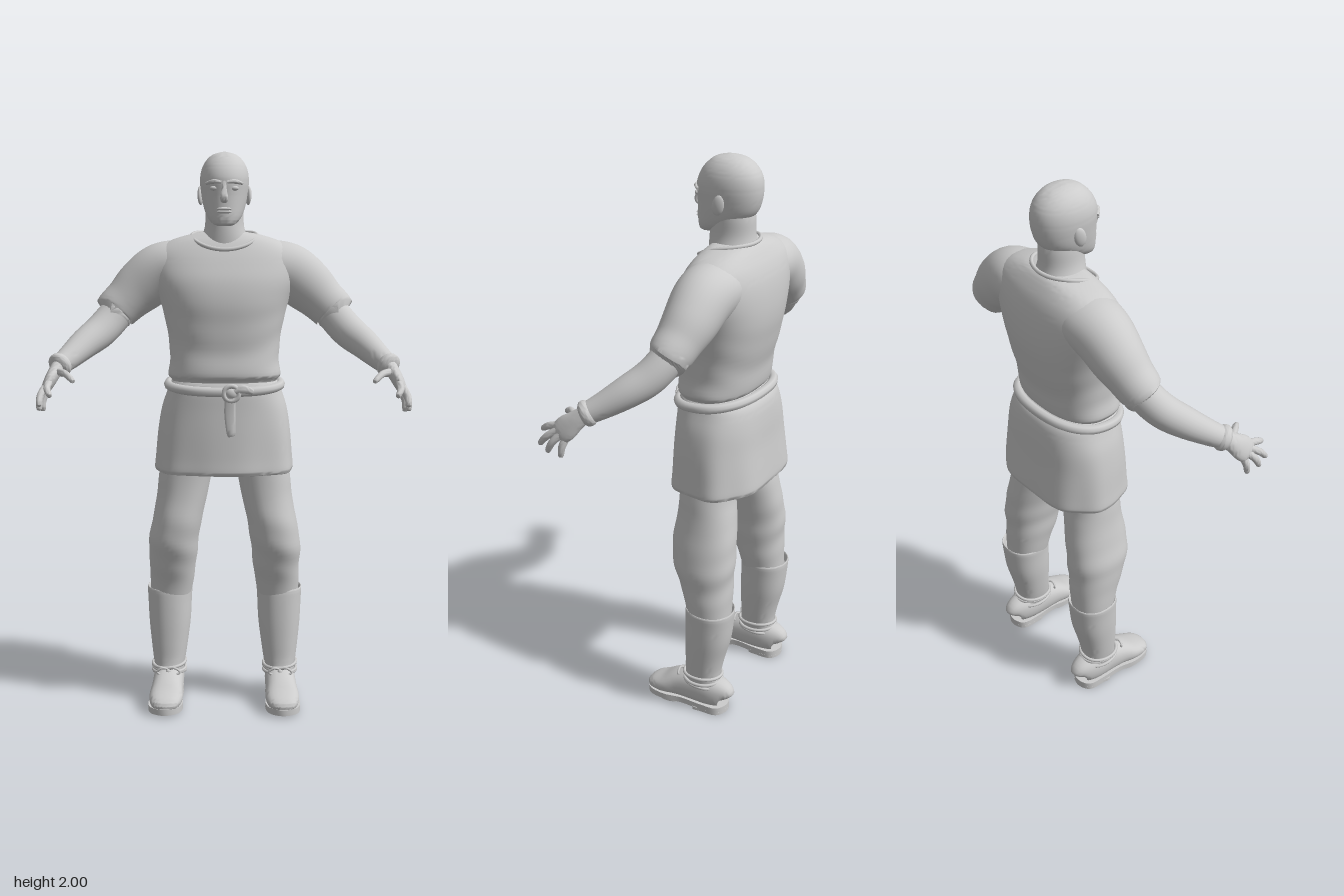
import * as THREE from 'three';
import { toCreasedNormals } from 'three/addons/utils/BufferGeometryUtils.js';

const V = (x, y, z) => new THREE.Vector3(x, y, z);
const Z = V(0, 0, 1), Y = V(0, 1, 0);
const grey = new THREE.MeshStandardMaterial({ color: 0xcccccc });
grey.name = 'plain grey';

// Smoothly resample rows of numbers (Catmull-Rom), `steps` rows per span
function resample(rows, steps) {
  const out = [], last = rows.length - 1;
  const row = i => rows[Math.min(last, Math.max(0, i))];
  for (let k = 0; k <= last * steps; k++) {
    const i = Math.min(last - 1, Math.floor(k / steps)), t = k / steps - i;
    out.push(row(i).map((b, c) => {
      const a = row(i - 1)[c], d = row(i + 1)[c], e = row(i + 2)[c];
      return b + 0.5 * t * (d - a + t * (2 * a - 5 * b + 4 * d - e + t * (3 * (b - d) + e - a)));
    }));
  }
  return out;
}

// Skin a list of rings {c, u, v}; n is the superellipse power, fold(a, c) scales the ring
function skin(rings, sides, n, fold) {
  const pos = [], idx = [];
  const bend = w => Math.sign(w) * Math.abs(w) ** (2 / n);
  for (const { c, u, v } of rings)
    for (let j = 0; j < sides; j++) {
      const a = j / sides * Math.PI * 2, f = fold ? fold(a, c) : 1;
      const p = c.clone().addScaledVector(u, f * bend(Math.sin(a))).addScaledVector(v, f * bend(Math.cos(a)));
      pos.push(p.x, p.y, p.z);
    }
  for (let i = 0; i < rings.length - 1; i++)
    for (let j = 0; j < sides; j++) {
      const k = (j + 1) % sides, a = i * sides + j, b = i * sides + k;
      idx.push(a, b, b + sides, a, b + sides, a + sides);
    }
  const top = pos.length / 3, end = (rings.length - 1) * sides;
  const c0 = rings[0].c, c1 = rings[rings.length - 1].c;
  pos.push(c0.x, c0.y, c0.z, c1.x, c1.y, c1.z);
  for (let j = 0; j < sides; j++) {
    const k = (j + 1) % sides;
    idx.push(top, k, j, top + 1, end + j, end + k);
  }
  const g = new THREE.BufferGeometry();
  g.setAttribute('position', new THREE.Float32BufferAttribute(pos, 3));
  g.setIndex(idx);
  return toCreasedNormals(g, 1);
}

// Upright body: rows [y, centreX, halfWidth, frontZ, backZ]
function upright(rows, { sides = 40, n = 2.3, steps = 5, s = 1, fold } = {}) {
  return skin(resample(rows, steps).map(([y, x, w, f, b]) =>
    ({ c: V(x * s, y, (f + b) / 2), u: V(w, 0, 0), v: V(0, 0, (f - b) / 2) })), sides, n, fold);
}

// Limb along a path: rows [x, y, z, radius across ref, radius along ref]
function limb(rows, { sides = 24, n = 2, steps = 5, s = 1, ref = Z } = {}) {
  const r = resample(rows, steps), p = r.map(q => V(q[0] * s, q[1], q[2]));
  return skin(r.map((q, i) => {
    const t = p[Math.min(i + 1, p.length - 1)].clone().sub(p[Math.max(i - 1, 0)]).normalize();
    const u = ref.clone().cross(t).normalize(), v = u.clone().cross(t);
    return { c: p[i], u: u.multiplyScalar(q[3]), v: v.multiplyScalar(q[4]) };
  }), sides, n);
}

// Cord through points
const cord = (pts, r, closed = true) =>
  new THREE.TubeGeometry(new THREE.CatmullRomCurve3(pts, closed), 64, r, 8, closed);

// Points of an oval loop; lift(angle) gives the height
const oval = (cx, cz, rx, rz, lift, n = 2.3) => Array.from({ length: 24 }, (_, i) => {
  const a = i / 24 * Math.PI * 2, e = 2 / n, q = w => Math.sign(w) * Math.abs(w) ** e;
  return V(cx + rx * q(Math.sin(a)), lift(a), cz + rz * q(Math.cos(a)));
});

export function createModel() {
  const model = new THREE.Group();
  const add = (name, geo, parent = model) => {
    const m = new THREE.Mesh(geo, grey);
    m.name = name;
    parent.add(m);
    return m;
  };
  const blob = (name, parent, x, y, z, rx, ry, rz) => {
    const m = add(name, new THREE.SphereGeometry(1, 20, 14), parent);
    m.position.set(x, y, z);
    m.scale.set(rx, ry, rz);
    return m;
  };

  // Head and neck
  const head = new THREE.Group();
  head.name = 'head';
  model.add(head);
  add('neck', upright([[1.6, 0, 0.1, -0.03, -0.2], [1.68, 0, 0.088, -0.025, -0.195], [1.74, 0, 0.07, -0.025, -0.182],
    [1.8, 0, 0.066, -0.03, -0.18], [1.85, 0, 0.06, -0.04, -0.17]], { n: 2 }), head);
  add('skull', upright([[1.742, 0, 0.022, 0.008, -0.03], [1.752, 0, 0.042, 0.017, -0.07], [1.775, 0, 0.06, 0.02, -0.13],
    [1.81, 0, 0.073, 0.02, -0.18], [1.85, 0, 0.081, 0.02, -0.2], [1.9, 0, 0.086, 0.022, -0.206], [1.94, 0, 0.08, 0.008, -0.198],
    [1.97, 0, 0.064, -0.016, -0.176], [1.99, 0, 0.04, -0.045, -0.145], [2, 0, 0.004, -0.09, -0.098]], { n: 2.1 }), head);
  add('nose', limb([[0, 1.895, 0.014, 0.008, 0.008], [0, 1.865, 0.022, 0.009, 0.01], [0, 1.838, 0.03, 0.014, 0.012],
    [0, 1.825, 0.022, 0.012, 0.008]], { sides: 14 }), head);
  for (const y of [1.79, 1.8]) blob('lip', head, 0, y, 0.018, 0.026, 0.006, 0.009);
  for (const s of [1, -1]) {
    add('brow', limb([[0.01, 1.89, 0.018, 0.006, 0.008], [0.036, 1.893, 0.014, 0.008, 0.008],
      [0.062, 1.887, -0.008, 0.005, 0.006]], { s, sides: 12 }), head);
    blob('eyelid', head, 0.034 * s, 1.87, 0.008, 0.016, 0.009, 0.01);
    const ear = blob('ear', head, 0.084 * s, 1.85, -0.095, 0.01, 0.034, 0.02);
    ear.rotation.set(-0.2, 0.3 * s, 0);
  }

  // Tunic with soft creases, a neckline and a blouse above the belt
  const creases = (a, c) => 1 + 0.008 * Math.sin(c.y * 60 + 2 * Math.cos(a * 2)) * Math.max(0, 1 - Math.abs(c.y - 1.3) / 0.2);
  add('tunic', upright([[1.17, 0, 0.175, 0.03, -0.18], [1.205, 0, 0.188, 0.043, -0.198], [1.225, 0, 0.2, 0.054, -0.21],
    [1.3, 0, 0.194, 0.046, -0.22], [1.4, 0, 0.208, 0.05, -0.243], [1.48, 0, 0.228, 0.052, -0.255], [1.55, 0, 0.252, 0.04, -0.255],
    [1.61, 0, 0.262, 0.015, -0.247], [1.655, 0, 0.25, -0.008, -0.232], [1.69, 0, 0.2, -0.03, -0.212], [1.712, 0, 0.135, -0.05, -0.195],
    [1.722, 0, 0.085, -0.06, -0.18]], { sides: 64, n: 2.4, fold: creases }));
  add('neckline', cord(oval(0, -0.092, 0.115, 0.096, a => 1.692 - 0.03 * Math.cos(a) + 0.018 * Math.sin(a) ** 2, 2), 0.007));

  // Skirt of the tunic, open below
  const folds = (a, c) => 1 + 0.022 * Math.sin(a * 7 + 1) * Math.max(0, (1.15 - c.y) / 0.28);
  add('skirt', upright([[1.0, 0, 0.215, 0.03, -0.225], [0.89, 0, 0.23, 0.045, -0.245], [0.872, 0, 0.242, 0.056, -0.258],
    [0.88, 0, 0.25, 0.063, -0.266], [0.93, 0, 0.246, 0.06, -0.262], [1.02, 0, 0.238, 0.056, -0.252], [1.1, 0, 0.225, 0.052, -0.246],
    [1.16, 0, 0.206, 0.05, -0.237], [1.19, 0, 0.196, 0.045, -0.222], [1.21, 0, 0.18, 0.03, -0.2]], { sides: 72, n: 2.5, fold: folds }));

  // Belt, knot and hanging end
  add('belt', cord(oval(0, -0.083, 0.2, 0.138, a => 1.186 - 0.016 * Math.cos(a)), 0.017));
  const ring = add('beltRing', new THREE.TorusGeometry(0.026, 0.009, 10, 24));
  ring.position.set(0.025, 1.166, 0.066);
  blob('beltKnot', model, 0.025, 1.166, 0.064, 0.022, 0.02, 0.014);
  add('beltLoop', limb([[0.03, 1.17, 0.068, 0.01, 0.006], [0.065, 1.182, 0.068, 0.015, 0.008],
    [0.1, 1.17, 0.056, 0.01, 0.006]], { sides: 12 }));
  add('beltEnd', limb([[0.022, 1.16, 0.066, 0.018, 0.007], [0.02, 1.1, 0.064, 0.02, 0.007],
    [0.024, 1.03, 0.066, 0.016, 0.007], [0.026, 1.015, 0.066, 0.01, 0.005]], { sides: 14, n: 3 }));

  for (const s of [1, -1]) {
    const side = s > 0 ? 'left' : 'right';
    const arm = new THREE.Group(), leg = new THREE.Group();
    arm.name = side + 'Arm';
    leg.name = side + 'Leg';
    model.add(arm, leg);

    // Sleeve with a turned hem
    add('sleeve', limb([[0.1, 1.6, -0.125, 0.085, 0.1], [0.17, 1.6, -0.125, 0.095, 0.105], [0.235, 1.58, -0.125, 0.1, 0.098],
      [0.3, 1.53, -0.122, 0.094, 0.088], [0.35, 1.483, -0.112, 0.081, 0.077], [0.383, 1.452, -0.104, 0.077, 0.072],
      [0.388, 1.446, -0.102, 0.072, 0.067], [0.378, 1.456, -0.106, 0.055, 0.055]], { s, sides: 32 }), arm);

    // Forearm and wrist cuff
    add('forearm', limb([[0.35, 1.48, -0.11, 0.058, 0.055], [0.395, 1.425, -0.09, 0.06, 0.056], [0.44, 1.375, -0.055, 0.059, 0.056],
      [0.49, 1.335, -0.005, 0.053, 0.052], [0.54, 1.29, 0.06, 0.042, 0.042], [0.572, 1.264, 0.105, 0.034, 0.035]], { s }), arm);
    add('cuff', limb([[0.556, 1.277, 0.083, 0.036, 0.037], [0.562, 1.272, 0.091, 0.043, 0.044],
      [0.57, 1.265, 0.102, 0.042, 0.042], [0.575, 1.261, 0.109, 0.032, 0.032]], { s }), arm);

    // Hand
    add('palm', limb([[0.566, 1.268, 0.098, 0.026, 0.027], [0.582, 1.243, 0.127, 0.023, 0.034], [0.595, 1.216, 0.156, 0.02, 0.043],
      [0.604, 1.196, 0.178, 0.015, 0.038], [0.607, 1.188, 0.185, 0.006, 0.025]], { s, sides: 20 }), arm);
    const digits = {
      indexFinger: [[0.592, 1.217, 0.19], [0.592, 1.203, 0.232], [0.58, 1.183, 0.262]],
      middleFinger: [[0.603, 1.204, 0.186], [0.616, 1.178, 0.222], [0.618, 1.15, 0.247]],
      ringFinger: [[0.608, 1.194, 0.172], [0.622, 1.164, 0.197], [0.622, 1.132, 0.215]],
      littleFinger: [[0.604, 1.188, 0.152], [0.616, 1.155, 0.162], [0.616, 1.123, 0.168]],
      thumb: [[0.575, 1.25, 0.13], [0.538, 1.248, 0.178], [0.508, 1.228, 0.217]],
    };
    for (const [name, [a, b, c]] of Object.entries(digits)) {
      const tip = c.map((w, i) => w + (c[i] - b[i]) * 0.12);
      add(name, limb([[...a, 0.013, 0.013], [...b, 0.012, 0.012], [...c, 0.009, 0.009], [...tip, 0.002, 0.002]],
        { s, sides: 12 }), arm);
    }

    // Baggy trouser leg
    const baggy = (a, c) => 1 + 0.02 * Math.sin(c.y * 55 + 2 * Math.sin(a)) * Math.max(0, 1 - Math.abs(c.y - 0.58) / 0.18);
    add('trouserLeg', upright([[0.39, 0.199, 0.074, -0.058, -0.213], [0.46, 0.194, 0.081, -0.042, -0.215],
      [0.52, 0.19, 0.085, -0.02, -0.215], [0.6, 0.187, 0.091, 0.006, -0.219], [0.68, 0.174, 0.09, 0.015, -0.217],
      [0.78, 0.154, 0.092, 0.004, -0.204], [0.87, 0.14, 0.096, 0, -0.192], [1.05, 0.105, 0.102, 0, -0.2]],
      { s, n: 2.2, fold: baggy }), leg);

    // Boot shaft, open at the top around the trousers
    add('bootShaft', upright([[0.07, 0.207, 0.054, -0.035, -0.185], [0.12, 0.206, 0.054, -0.045, -0.18], [0.16, 0.205, 0.06, -0.05, -0.182],
      [0.22, 0.204, 0.068, -0.05, -0.195], [0.3, 0.203, 0.077, -0.05, -0.216], [0.38, 0.203, 0.081, -0.052, -0.226],
      [0.418, 0.203, 0.083, -0.054, -0.229], [0.424, 0.203, 0.079, -0.058, -0.225], [0.4, 0.203, 0.072, -0.065, -0.215]],
      { s, n: 2.2 }), leg);

    // Shoe upper
    add('shoe', limb([[0.207, 0.06, -0.212, 0.02, 0.03], [0.207, 0.07, -0.2, 0.04, 0.05], [0.207, 0.075, -0.15, 0.054, 0.06],
      [0.207, 0.075, -0.08, 0.056, 0.062], [0.209, 0.066, -0.02, 0.057, 0.05], [0.212, 0.05, 0.035, 0.061, 0.034],
      [0.213, 0.04, 0.08, 0.051, 0.024], [0.213, 0.034, 0.1, 0.034, 0.016], [0.213, 0.031, 0.108, 0.012, 0.006]],
      { s, n: 2.4, ref: Y }), leg);

    // Sole and heel cut from one outline
    const outline = [[0.207, -0.215], [0.252, -0.195], [0.261, -0.13], [0.262, -0.05], [0.276, 0.02], [0.264, 0.085],
      [0.213, 0.112], [0.165, 0.085], [0.15, 0.02], [0.16, -0.05], [0.155, -0.13], [0.162, -0.195]];
    const slab = (pts, y, h) => new THREE.ExtrudeGeometry(new THREE.Shape(new THREE.CatmullRomCurve3(
      pts.map(([x, z]) => V(x * s, z, 0)), true).getPoints(48).slice(0, -1).map(p => new THREE.Vector2(p.x, p.y))),
      { depth: h, bevelEnabled: false }).rotateX(Math.PI / 2).translate(0, y + h, 0);
    add('sole', toCreasedNormals(slab(outline, 0.008, 0.022), 0.7), leg);
    add('heel', toCreasedNormals(slab(outline.map(([x, z]) => [x, Math.min(z, -0.1)]).filter(([, z], i) => z < -0.1 || i === 3 || i === 9),
      0, 0.012), 0.7), leg);
    add('treadPad', toCreasedNormals(slab([[0.255, -0.03], [0.268, 0.03], [0.213, 0.085], [0.16, 0.03], [0.168, -0.03]], 0, 0.012), 0.7), leg);

    // Ankle laces with a small bow
    [0.108, 0.122, 0.138].forEach((y, i) => add('lace', cord(oval(0.206 * s, -0.113, 0.06, 0.071,
      a => y + 0.006 * Math.cos(a + i * 2), 2.1), 0.006), leg));
    for (const d of [1, -1]) add('laceBow', cord([V(0.206 * s, 0.125, -0.04), V(0.206 * s + d * 0.022, 0.138, -0.028),
      V(0.206 * s + d * 0.042, 0.122, -0.03), V(0.206 * s + d * 0.02, 0.112, -0.028)], 0.004), leg);
    blob('laceKnot', leg, 0.206 * s, 0.123, -0.036, 0.01, 0.009, 0.009);
  }
  return model;
}
